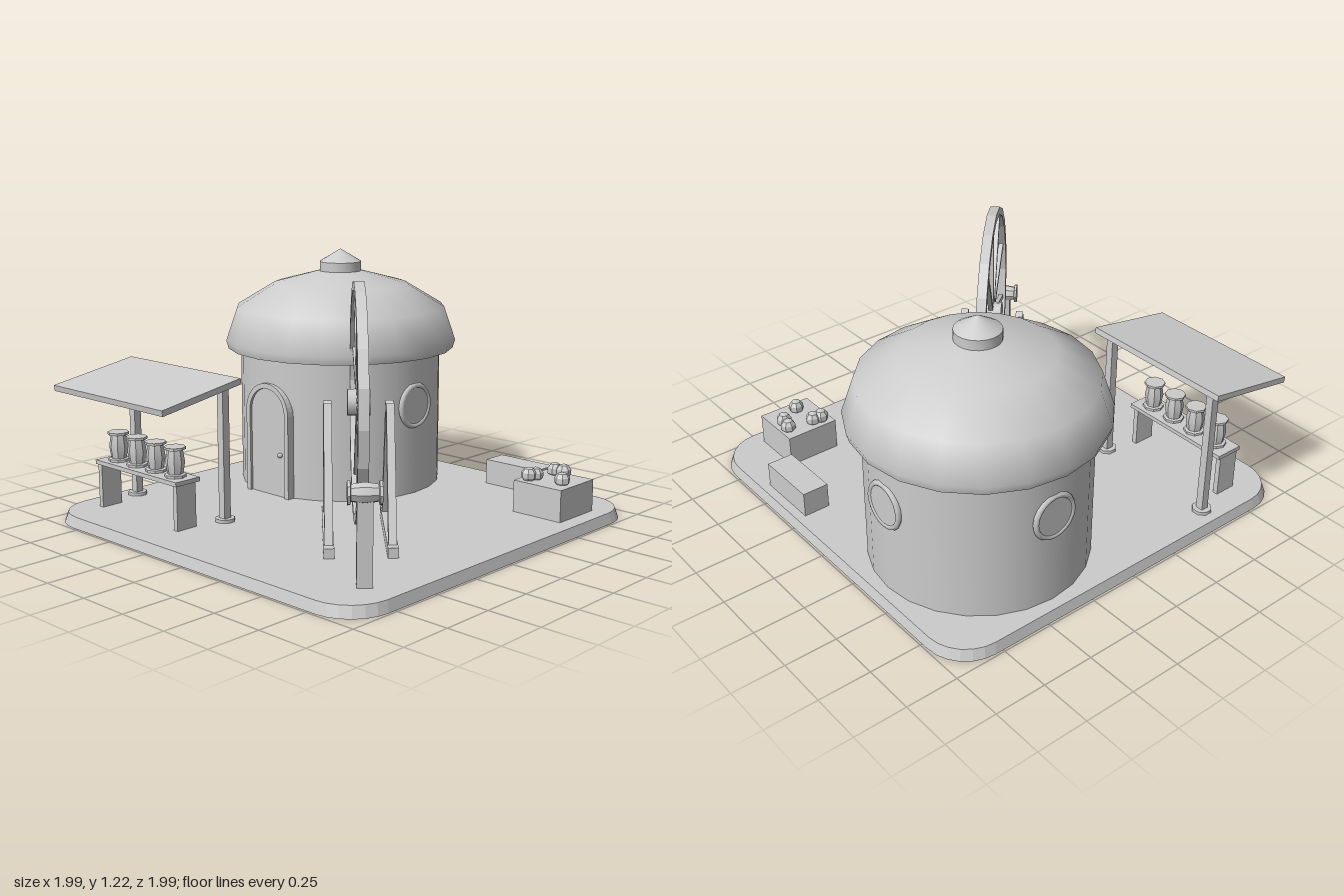
import * as THREE from 'three';
import { toCreasedNormals } from 'three/addons/utils/BufferGeometryUtils.js';

const clay = new THREE.MeshStandardMaterial({ color: 0xcccccc });
clay.name = 'pale grey';

function add(parent, name, geometry, x = 0, y = 0, z = 0) {
  const mesh = new THREE.Mesh(geometry, clay);
  mesh.name = name;
  mesh.position.set(x, y, z);
  parent.add(mesh);
  return mesh;
}

function group(parent, name, x = 0, y = 0, z = 0) {
  const g = new THREE.Group();
  g.name = name;
  g.position.set(x, y, z);
  parent.add(g);
  return g;
}

const box = (w, h, d) => new THREE.BoxGeometry(w, h, d);
const lathe = (points, sides, crease = 0.7) => toCreasedNormals(
  new THREE.LatheGeometry(points.map(([r, y]) => new THREE.Vector2(r, y)), sides), crease);

// Box beam between two points
function beam(parent, name, a, b, w, d) {
  const dir = b.clone().sub(a);
  const mesh = add(parent, name, box(w, dir.length(), d));
  mesh.position.copy(a).add(b).multiplyScalar(0.5);
  mesh.quaternion.setFromUnitVectors(new THREE.Vector3(0, 1, 0), dir.normalize());
  return mesh;
}

// Rounded ground slab, slightly narrower at the top
function slabGeometry() {
  const h = 0.99, r = 0.2;
  const s = new THREE.Shape();
  s.moveTo(-h + r, -h);
  s.lineTo(h - r, -h);
  s.absarc(h - r, -h + r, r, -Math.PI / 2, 0);
  s.absarc(h - r, h - r, r, 0, Math.PI / 2);
  s.absarc(-h + r, h - r, r, Math.PI / 2, Math.PI);
  s.absarc(-h + r, -h + r, r, Math.PI, Math.PI * 1.5);
  const g = new THREE.ExtrudeGeometry(s, { depth: 0.05, bevelEnabled: false, curveSegments: 3 });
  g.rotateX(-Math.PI / 2);
  const p = g.attributes.position;
  for (let i = 0; i < p.count; i++) {
    if (p.getY(i) > 0.02) p.setXYZ(i, p.getX(i) * 0.986, p.getY(i), p.getZ(i) * 0.986);
  }
  g.computeVertexNormals();
  return g;
}

// Bobbin with a flange at each end and a bulging middle
const bobbin = lathe([[0, -0.07], [0.05, -0.07], [0.05, -0.058], [0.036, -0.055], [0.045, 0],
  [0.036, 0.055], [0.05, 0.058], [0.05, 0.07], [0, 0.07]], 8, 0.4);

function archShape(w, h) {
  const s = new THREE.Shape();
  s.moveTo(-w, 0);
  s.lineTo(w, 0);
  s.lineTo(w, h);
  s.absarc(0, h, w, 0, Math.PI);
  s.closePath();
  return s;
}

function buildHut(root) {
  const hut = group(root, 'hut', -0.415, 0, -0.42);
  add(hut, 'wall', new THREE.CylinderGeometry(0.505, 0.505, 0.69, 24), 0, 0.395, 0);
  add(hut, 'domedRoof', lathe([[0, 0.73], [0.57, 0.73], [0.582, 0.77], [0.525, 0.935],
    [0.335, 1.05], [0.11, 1.11], [0, 1.125]], 20, 0.9));
  add(hut, 'finial', lathe([[0, 1.09], [0.105, 1.09], [0.105, 1.157], [0, 1.22]], 20, 0.5));

  // Arched door with frame and knob
  const leaf = new THREE.ExtrudeGeometry(archShape(0.13, 0.41), { depth: 0.05, bevelEnabled: false, curveSegments: 10 });
  add(hut, 'door', leaf, 0, 0.05, 0.457);
  const outer = archShape(0.145, 0.41);
  outer.holes.push(archShape(0.12, 0.41));
  const frame = new THREE.ExtrudeGeometry(outer, { depth: 0.06, bevelEnabled: false, curveSegments: 10 });
  add(hut, 'doorFrame', frame, 0, 0.05, 0.46);
  add(hut, 'doorKnob', new THREE.SphereGeometry(0.013, 8, 6), 0.085, 0.26, 0.515);

  // Round windows on the two sides and the back
  for (const angle of [Math.PI / 2, Math.PI, -Math.PI / 2]) {
    const win = group(hut, 'roundWindow', 0, 0.49, 0);
    win.rotation.y = angle;
    add(win, 'windowRim', new THREE.TorusGeometry(0.1, 0.014, 6, 20), 0, 0, 0.5);
    const pane = new THREE.CylinderGeometry(0.1, 0.1, 0.04, 20).rotateX(Math.PI / 2);
    add(win, 'windowPane', pane, 0, 0, 0.488);
  }
}

function buildStall(root) {
  const stall = group(root, 'stall');
  const canopy = add(stall, 'canopy', box(0.79, 0.028, 0.46), -0.555, 0.673, 0.722);
  canopy.rotation.x = 0.165;
  for (const x of [-0.885, -0.24]) {
    add(stall, 'canopyPost', box(0.038, 0.65, 0.038), x, 0.37, 0.535);
    add(stall, 'postFoot', new THREE.CylinderGeometry(0.047, 0.047, 0.016, 8).rotateY(Math.PI / 8), x, 0.058, 0.535);
  }
  // Low bench with four bobbins
  add(stall, 'benchTop', box(0.59, 0.02, 0.14), -0.56, 0.27, 0.73);
  for (const x of [-0.835, -0.285]) add(stall, 'benchLeg', box(0.026, 0.21, 0.11), x, 0.155, 0.735);
  for (let i = 0; i < 4; i++) add(stall, 'benchBobbin', bobbin, -0.765 + i * 0.138, 0.35, 0.73);
}

function buildWheel(root) {
  const rig = group(root, 'wheelRig', 0.355, 0, 0.275);
  rig.rotation.y = -Math.PI / 4;
  const wheel = group(rig, 'wheel', 0, 0.657, 0);
  const rim = lathe([[0.53, -0.023], [0.53, 0.023], [0.492, 0.023], [0.492, -0.023], [0.53, -0.023]], 20, 0.2);
  add(wheel, 'rim', rim.rotateX(Math.PI / 2));
  add(wheel, 'hub', new THREE.CylinderGeometry(0.06, 0.06, 0.1, 10).rotateX(Math.PI / 2));
  for (let i = 0; i < 10; i++) {
    const a = i * Math.PI / 5;
    const spoke = add(wheel, 'spoke', box(0.022, 0.45, 0.022), Math.sin(a) * 0.275, Math.cos(a) * 0.275, 0);
    spoke.rotation.z = -a;
  }
  // A-shaped supports on both sides
  for (const z of [-0.136, 0.136]) {
    add(rig, 'supportSill', box(0.62, 0.045, 0.046), 0, 0.072, z);
    for (const s of [-1, 1]) {
      beam(rig, 'supportLeg', new THREE.Vector3(s * 0.25, 0.08, z),
        new THREE.Vector3(s * 0.012, 0.65, z), 0.046, 0.036);
    }
  }
}

function buildSpindle(root) {
  const spindle = group(root, 'spindleStand', 0.81, 0, 0.73);
  spindle.rotation.y = -Math.PI / 4;
  add(spindle, 'spindlePost', box(0.05, 0.37, 0.065), 0, 0.235, 0);
  add(spindle, 'spindle', bobbin, 0, 0.435, 0).rotation.x = Math.PI / 2;
}

function buildCrates(root) {
  add(root, 'longCrate', box(0.315, 0.125, 0.13), 0.397, 0.11, -0.867);
  add(root, 'squareCrate', box(0.265, 0.155, 0.265), 0.765, 0.125, -0.63);
  const spots = [[0.71, -0.72], [0.765, -0.71], [0.69, -0.59], [0.68, -0.55], [0.835, -0.597]];
  spots.forEach(([x, z], i) => {
    const ball = new THREE.SphereGeometry(0.038, 7, 5);
    add(root, 'yarnBall', toCreasedNormals(ball, 0.3), x, 0.222 + (i % 2) * 0.005, z).rotation.y = i;
  });
}

export function createModel() {
  const root = new THREE.Group();
  root.name = 'spinnerYard';
  add(root, 'groundSlab', slabGeometry());
  buildHut(root);
  buildStall(root);
  buildWheel(root);
  buildSpindle(root);
  buildCrates(root);
  return root;
}
